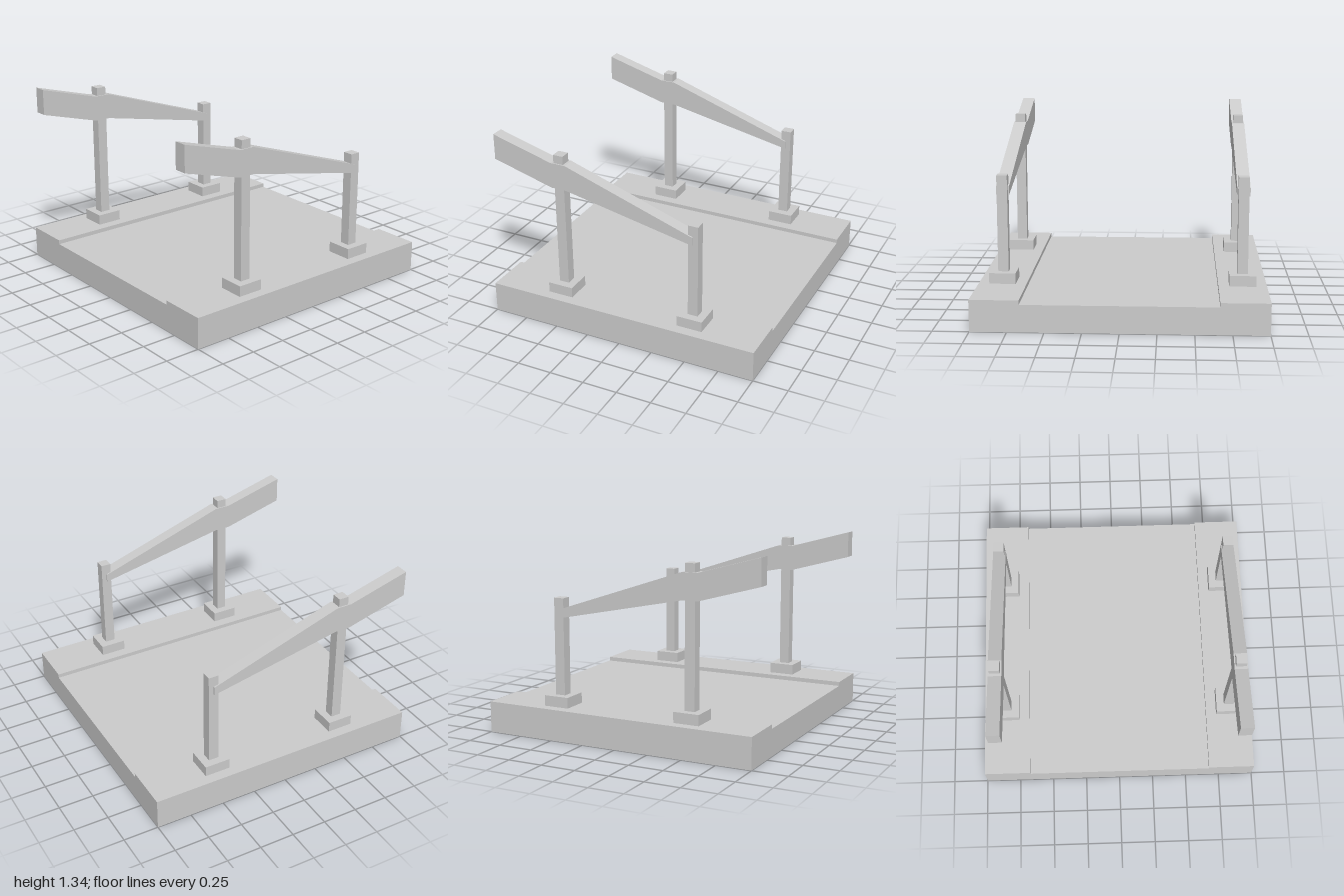
import * as THREE from 'three';

const material = new THREE.MeshStandardMaterial({ color: 0xcccccc, flatShading: true });

// Extrudes an outline, centred on its depth
function extrude(points, depth) {
  const shape = new THREE.Shape(points.map(([x, y]) => new THREE.Vector2(x, y)));
  return new THREE.ExtrudeGeometry(shape, { depth, bevelEnabled: false }).translate(0, 0, -depth / 2);
}

function add(parent, name, geometry, x = 0, y = 0, z = 0) {
  const mesh = new THREE.Mesh(geometry, material);
  mesh.name = name;
  mesh.position.set(x, y, z);
  parent.add(mesh);
}

export function createModel() {
  const model = new THREE.Group();
  model.name = 'railedSlab';

  const edge = 0.665, kerbTop = 0.22, roadTop = 0.19;

  // Slab with a raised kerb along each side
  add(model, 'slab', extrude([
    [-1, 0], [1, 0], [1, kerbTop], [edge, kerbTop],
    [edge, roadTop], [-edge, roadTop], [-edge, kerbTop], [-1, kerbTop],
  ], 2));

  // Tapered beam outline as [z, y], level where it crosses the front post
  const beamOutline = [
    [1, 1.155], [1, 1.34], [0.555, 1.215], [0.445, 1.215],
    [-0.5, 0.895], [-0.5, 0.835], [0.445, 1.03], [0.555, 1.03],
  ].reverse();

  for (const side of [-1, 1]) {
    const rail = new THREE.Group();
    rail.name = side > 0 ? 'leftRail' : 'rightRail';
    rail.position.x = side * 0.833;
    model.add(rail);

    // Square posts on footings, the front one taller
    for (const [place, z, top] of [['front', 0.5, 1.275], ['back', -0.5, 0.975]]) {
      const footTop = 0.295;
      add(rail, place + 'Footing', new THREE.BoxGeometry(0.185, footTop - kerbTop, 0.185),
        0, (footTop + kerbTop) / 2, z);
      add(rail, place + 'Post', new THREE.BoxGeometry(0.073, top - footTop, 0.073),
        0, (top + footTop) / 2, z);
    }

    // Sloping beam, turned so its outline runs along z
    add(rail, 'beam', extrude(beamOutline, 0.092).rotateY(-Math.PI / 2));
  }

  return model;
}
